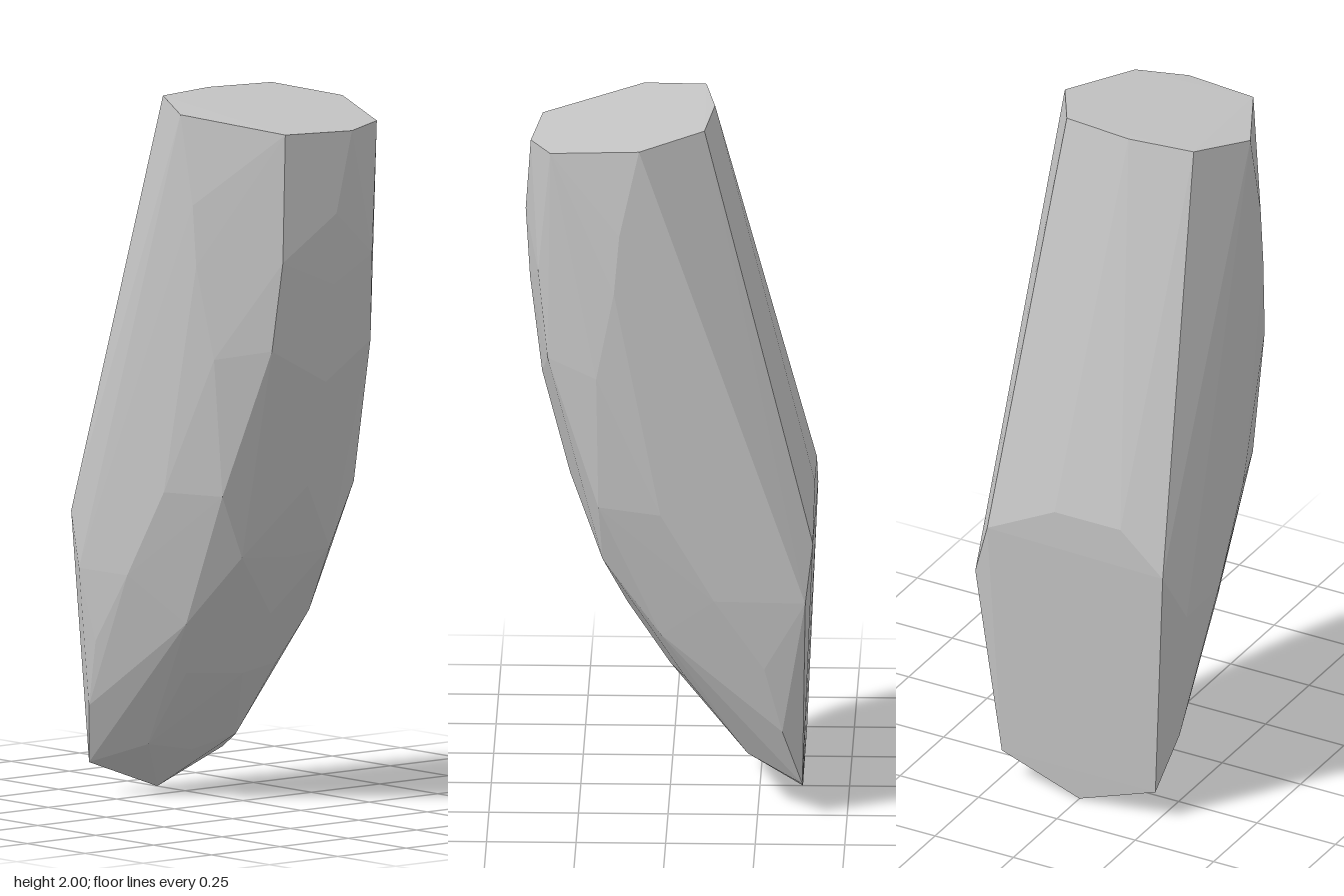
import * as THREE from 'three';
import { ConvexGeometry } from 'three/addons/geometries/ConvexGeometry.js';

const grey = new THREE.MeshStandardMaterial({ color: 0xc4c4c4 });
grey.name = 'stone grey';

// Corners of the faceted stone shard, [x, y, z]
const spine = [ // curved outer edge, on the middle plane
  [0.404, 1.7, 0], [0.392, 1.5, 0], [0.358, 1.22, 0], [0.28, 0.92, 0],
  [0.2, 0.71, 0], [0.12, 0.54, 0], [0, 0.36, 0], [-0.22, 0.12, 0], [-0.37, 0, 0],
];
const flank = [ // repeated on both sides
  [0.08, 1.97, 0.296], [0.135, 1.72, 0.298], [0.15, 1.55, 0.298], [0.2, 1.29, 0.275],
  [0.365, 1.57, 0.163], [0.338, 1.32, 0.18], [0.195, 0.9, 0.24], [0.185, 0.72, 0.16],
  [0.02, 0.9, 0.306], [-0.13, 0.65, 0.313], [0.02, 0.52, 0.225], [-0.27, 0.45, 0.31],
  [-0.05, 0.37, 0.165], [-0.32, 0.26, 0.292], [-0.22, 0.15, 0.16], [-0.375, 0.09, 0.245],
];
const cuts = [ // uneven corners of the top and of the two flat inner cuts
  [-0.124, 2, 0.02], [-0.095, 1.997, 0.212], [-0.1, 1.997, -0.19],
  [0.36, 1.93, 0.15], [0.33, 1.934, -0.21], [0.388, 1.925, -0.07],
  [-0.405, 0.92, 0.15], [-0.405, 0.92, -0.06], [-0.405, 0.8, 0.285],
  [-0.405, 0.81, -0.275], [-0.33, 0.65, 0.32], [-0.385, 0.65, -0.324],
];

export function createModel() {
  const group = new THREE.Group();
  group.name = 'stoneShard';
  const mirrored = flank.map(([x, y, z]) => [x, y, -z]);
  const points = [...spine, ...flank, ...mirrored, ...cuts].map((p) => new THREE.Vector3(...p));
  const shard = new THREE.Mesh(new ConvexGeometry(points), grey);
  shard.name = 'shard';
  group.add(shard);
  return group;
}
